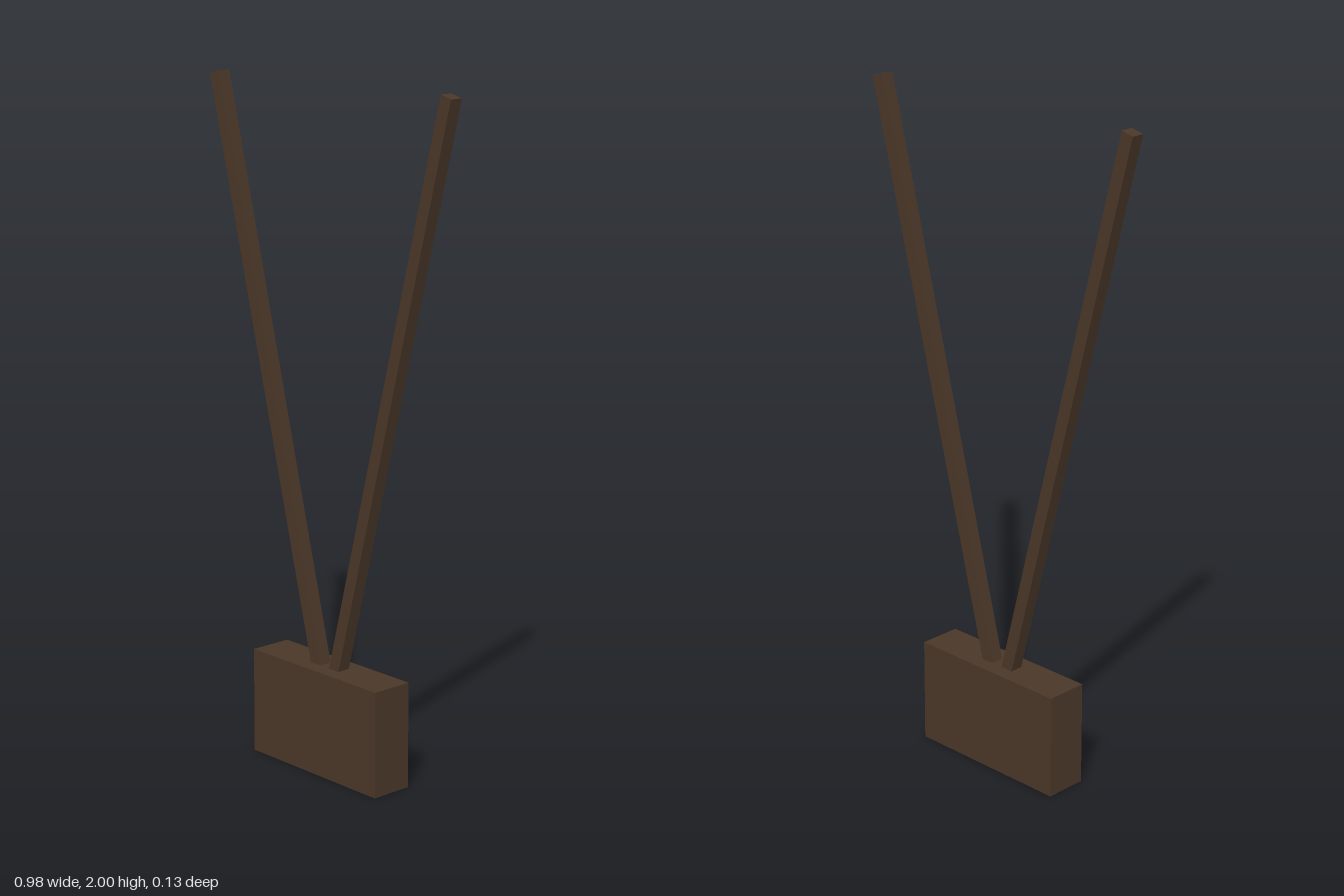
import * as THREE from 'three';

export function createModel() {
  const group = new THREE.Group();
  const material = new THREE.MeshStandardMaterial({ color: 0x4a3728, flatShading: true });

  // Solid block standing on the ground
  const base = new THREE.Mesh(new THREE.BoxGeometry(0.524, 0.316, 0.13), material);
  base.name = 'base';
  base.position.y = 0.158;
  group.add(base);

  // Two square rods leaning outwards in a V, set slightly into the block
  const foot = new THREE.Vector2(0.035, 0.3);
  const tip = new THREE.Vector2(0.472, 1.995);
  const length = foot.distanceTo(tip);
  const lean = Math.atan2(tip.x - foot.x, tip.y - foot.y);
  for (const side of [1, -1]) {
    const rod = new THREE.Mesh(new THREE.BoxGeometry(0.04, length, 0.04), material);
    rod.name = side > 0 ? 'leftRod' : 'rightRod';
    rod.position.set(side * (foot.x + tip.x) / 2, (foot.y + tip.y) / 2, 0);
    rod.rotation.z = -side * lean;
    group.add(rod);
  }
  return group;
}
